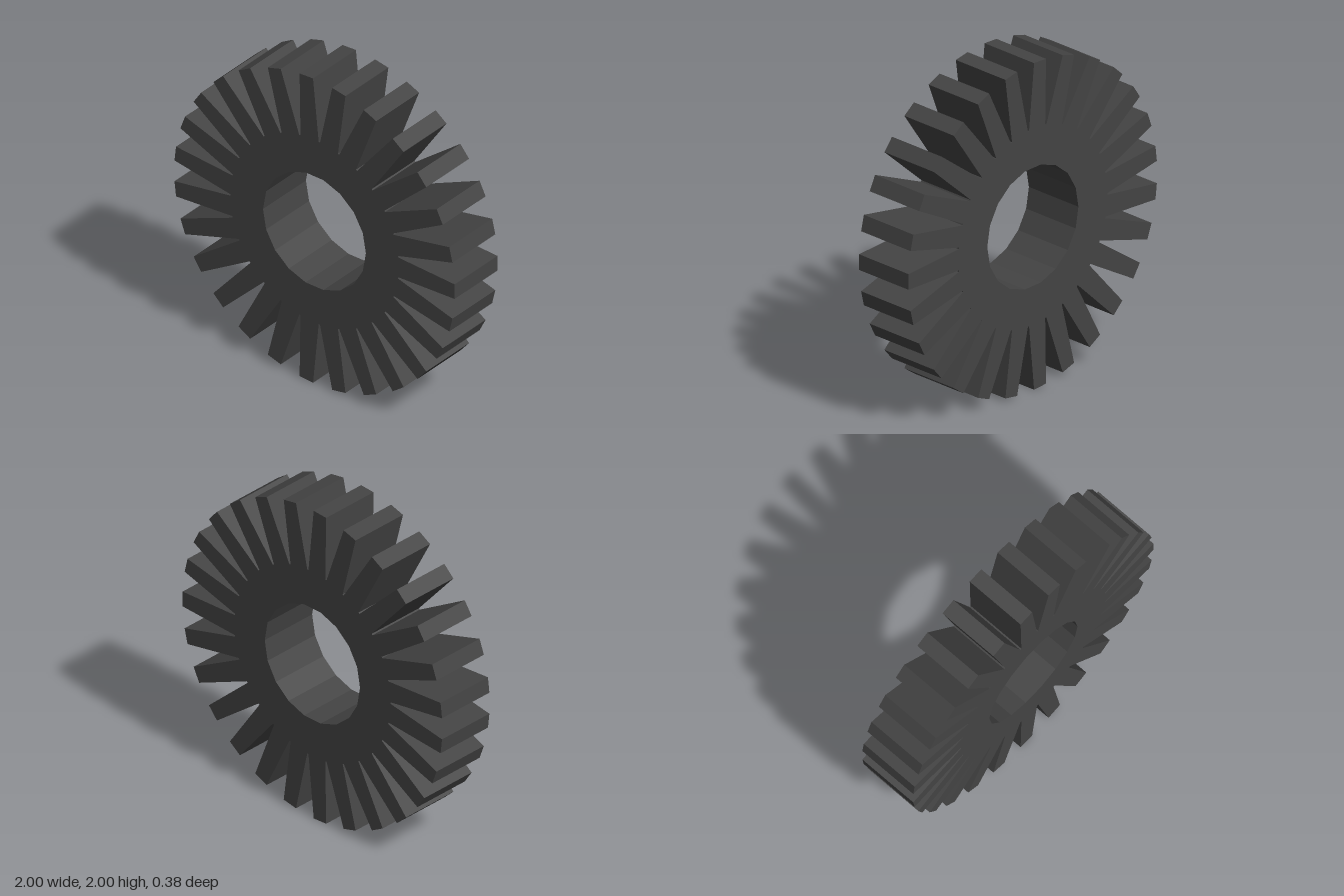
import * as THREE from 'three';

const TEETH = 27, BORE_SIDES = 18;
const DEPTH = 0.38, ROOT_R = 0.6, BORE_R = 0.367;
const ROOT_HALF = 0.065, TIP_HALF = 0.048, TIP_X = 1;
const ROOT_X = Math.sqrt(ROOT_R ** 2 - ROOT_HALF ** 2);

// Flat plate cut from a shape, centred on z = 0
function plate(shape) {
  const geometry = new THREE.ExtrudeGeometry(shape, { depth: DEPTH, bevelEnabled: false });
  return geometry.translate(0, 0, -DEPTH / 2);
}

export function createModel() {
  const gear = new THREE.Group();
  gear.name = 'gearWheel';
  const material = new THREE.MeshStandardMaterial({ color: 0x444444 });
  const step = (Math.PI * 2) / TEETH;
  const rootAngle = Math.atan2(ROOT_HALF, ROOT_X);
  const polar = (r, a) => new THREE.Vector2(r * Math.cos(a), r * Math.sin(a));

  // Hub ring: outer corners meet the tooth roots, faceted bore through the middle
  const outline = [], bore = [];
  for (let i = 0; i < TEETH; i++) {
    outline.push(polar(ROOT_R, i * step - rootAngle), polar(ROOT_R, i * step + rootAngle));
  }
  for (let i = 0; i < BORE_SIDES; i++) bore.push(polar(BORE_R, (i / BORE_SIDES) * Math.PI * 2));
  const ringShape = new THREE.Shape(outline);
  ringShape.holes.push(new THREE.Path(bore));
  const ring = new THREE.Mesh(plate(ringShape), material);
  ring.name = 'hubRing';
  gear.add(ring);

  // Tapered teeth with flat tips
  const toothGeometry = plate(new THREE.Shape([
    new THREE.Vector2(ROOT_X, -ROOT_HALF), new THREE.Vector2(TIP_X, -TIP_HALF),
    new THREE.Vector2(TIP_X, TIP_HALF), new THREE.Vector2(ROOT_X, ROOT_HALF),
  ]));
  const teeth = new THREE.Group();
  teeth.name = 'teeth';
  for (let i = 0; i < TEETH; i++) {
    const tooth = new THREE.Mesh(toothGeometry, material);
    tooth.name = `tooth${i + 1}`;
    tooth.rotation.z = i * step;
    teeth.add(tooth);
  }
  gear.add(teeth);

  gear.position.y = 1;
  const model = new THREE.Group();
  model.name = 'gear';
  model.add(gear);
  return model;
}
